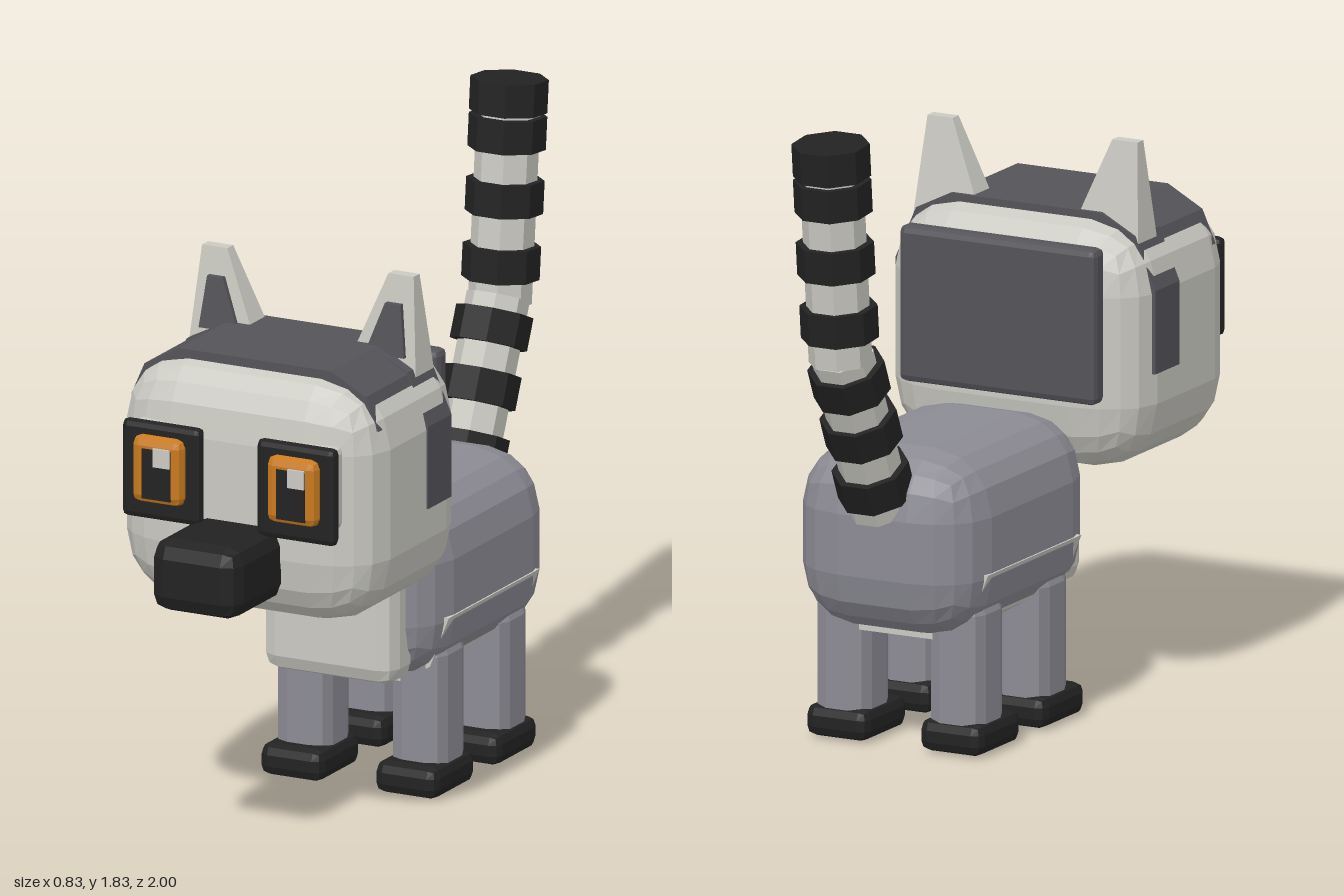
import * as THREE from 'three';
import { RoundedBoxGeometry } from 'three/addons/geometries/RoundedBoxGeometry.js';

const paint = (name, hex) => {
  const m = new THREE.MeshStandardMaterial({ color: hex, flatShading: true });
  m.name = name;
  return m;
};

export function createModel() {
  const cream = paint('cream fur', 0xcac9c2);
  const grey = paint('grey fur', 0x8c8b94);
  const dark = paint('dark fur', 0x545359);
  const black = paint('black', 0x222222);
  const orange = paint('orange iris', 0xc97a1e);

  const model = new THREE.Group();
  model.name = 'longTailedAnimal';

  const add = (name, geometry, material, parent = model) => {
    const mesh = new THREE.Mesh(geometry, material);
    mesh.name = name;
    parent.add(mesh);
    return mesh;
  };

  // Bevelled box between two corners, with a separate bevel radius per axis
  const block = (name, material, lo, hi, r, seg = 1, parent = model) => {
    const [rx, ry, rz] = Array.isArray(r) ? r : [r, r, r];
    const size = hi.map((v, i) => v - lo[i]);
    const g = new RoundedBoxGeometry(size[0] / rx, size[1] / ry, size[2] / rz, seg, 1);
    g.scale(rx, ry, rz);
    g.translate(...hi.map((v, i) => (v + lo[i]) / 2));
    return add(name, g, material, parent);
  };

  // Tapered box: bottom and top rectangles given as [x0, x1, z0, z1]
  const taper = (y0, y1, bottom, top, side) => {
    const g = new THREE.BoxGeometry(1, 1, 1);
    const p = g.attributes.position;
    for (let i = 0; i < p.count; i++) {
      const up = p.getY(i) > 0;
      const q = up ? top : bottom;
      const outer = p.getX(i) * side > 0;
      p.setXYZ(i, side * q[outer ? 1 : 0], up ? y1 : y0, q[p.getZ(i) > 0 ? 3 : 2]);
    }
    g.computeVertexNormals();
    return g;
  };

  // Symmetric front profile (right half, bottom to top) extruded along z
  const slab = (half, z0, z1) => {
    const pts = [...half, ...half.map(([x, y]) => [-x, y]).reverse()];
    const shape = new THREE.Shape(pts.map(([x, y]) => new THREE.Vector2(x, y)));
    const g = new THREE.ExtrudeGeometry(shape, { depth: z1 - z0, bevelEnabled: false });
    return g.translate(0, 0, z0);
  };

  // Body, belly and chest
  block('body', grey, [-0.29, 0.335, -0.66], [0.29, 0.87, 0.15], [0.18, 0.18, 0.17], 2);
  add('belly', slab([[0.14, 0.325], [0.235, 0.38], [0.295, 0.53]], -0.52, 0.02), cream);
  block('chest', cream, [-0.21, 0.355, 0.04], [0.21, 0.72, 0.2], 0.05);

  // Legs and feet
  for (const side of [-1, 1]) {
    for (const [label, z] of [['front', -0.07], ['hind', -0.44]]) {
      const leg = new THREE.Group();
      leg.name = label + (side > 0 ? 'LeftLeg' : 'RightLeg');
      model.add(leg);
      const x = side * 0.182;
      block('shin', grey, [x - 0.085, 0, z - 0.092], [x + 0.085, 0.455, z + 0.092], 0.05, 1, leg);
      block('foot', black, [x - 0.1, 0.004, z - 0.105], [x + 0.1, 0.097, z + 0.145], 0.03, 1, leg);
    }
  }

  // Head with its dark cap, side straps and back patch
  const head = new THREE.Group();
  head.name = 'head';
  model.add(head);
  block('skull', cream, [-0.41, 0.67, 0.1], [0.41, 1.39, 0.735], [0.2, 0.2, 0.15], 2, head);
  add('cap', slab([[0.392, 1.25], [0.35, 1.345], [0.24, 1.405]], 0.37, 0.62), dark, head);
  add('capStraps', slab([[0.415, 0.96], [0.415, 1.2], [0.35, 1.35], [0.24, 1.405]], 0.23, 0.37), dark, head);
  block('napePatch', dark, [-0.315, 0.89, 0.06], [0.315, 1.34, 0.125], 0.02, 1, head);
  block('muzzle', black, [-0.14, 0.75, 0.68], [0.14, 0.96, 1], 0.05, 1, head);

  for (const side of [-1, 1]) {
    // Ear with a dark inner face
    const ear = new THREE.Group();
    ear.name = side > 0 ? 'leftEar' : 'rightEar';
    head.add(ear);
    const shell = taper(1.32, 1.61, [0.135, 0.36, 0.23, 0.34], [0.255, 0.335, 0.27, 0.305], side);
    add('earShell', shell, cream, ear);
    const inner = taper(1.38, 1.53, [0.2, 0.325, 0.28, 0.345], [0.257, 0.306, 0.28, 0.33], side);
    add('earInner', inner, dark, ear);

    // Eye: patch, iris, pupil and glint; both eyes glance the same way
    const eye = new THREE.Group();
    eye.name = side > 0 ? 'leftEye' : 'rightEye';
    head.add(eye);
    const x = side * 0.213;
    block('eyeSocket', cream, [x - 0.11, 0.98, 0.69], [x + 0.11, 1.22, 0.75], 0.02, 1, eye);
    block('eyePatch', black, [x - 0.125, 0.945, 0.745], [x + 0.125, 1.23, 0.785], 0.018, 1, eye);
    block('iris', orange, [x - 0.08, 1, 0.76], [x + 0.08, 1.195, 0.815], 0.025, 1, eye);
    const plate = (name, material, px, py, w, h, z) =>
      add(name, new THREE.BoxGeometry(w, h, 0.008).translate(px, py, z), material, eye);
    plate('pupil', black, x + 0.004, 1.09, 0.09, 0.145, 0.815);
    plate('glint', cream, x + 0.023, 1.142, 0.052, 0.054, 0.821);
  }

  // Tail: two eight-sided sections with dark rings
  const tail = new THREE.Group();
  tail.name = 'tail';
  model.add(tail);
  const prism = (name, material, flat, height, y, z, tilt) => {
    const r = flat / Math.cos(Math.PI / 8);
    const g = new THREE.CylinderGeometry(r, r, height, 8).rotateY(Math.PI / 8);
    const m = add(name, g, material, tail);
    m.position.set(0, y, z);
    m.rotation.x = -tilt;
  };
  const low = 0.42, high = 0.095;
  prism('tailBase', cream, 0.083, 0.54, 0.955, -0.72, low);
  prism('tailTip', cream, 0.083, 0.6, 1.48, -0.868, high);
  const rings = [[0.8, -0.65, low], [0.965, -0.72, low], [1.12, -0.79, low],
    [1.3, -0.847, high], [1.487, -0.868, high], [1.67, -0.884, high], [1.775, -0.893, high]];
  for (const [y, z, tilt] of rings) prism('tailRing', black, 0.102, 0.095, y, z, tilt);

  return model;
}
